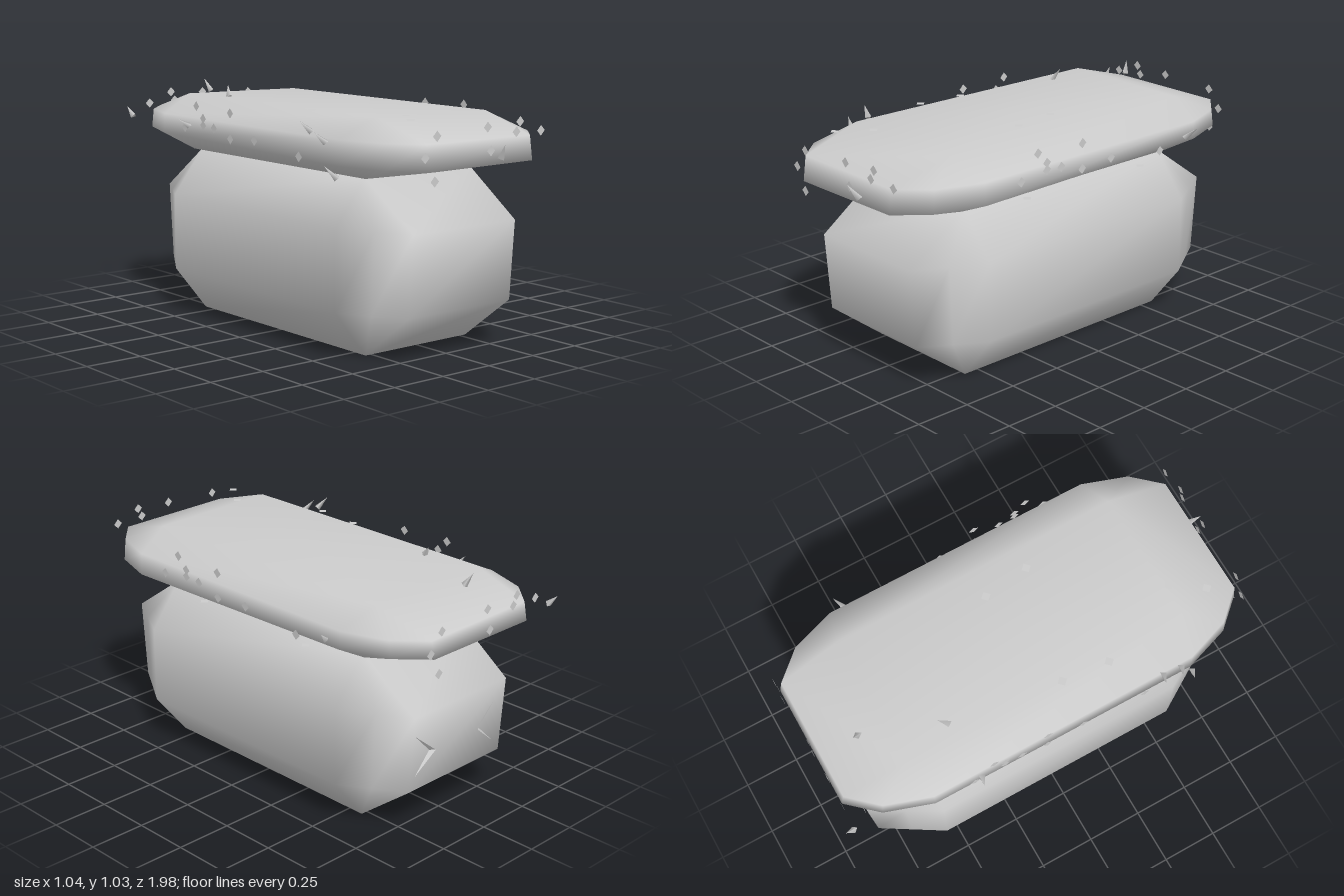
import * as THREE from 'three';
import { mergeVertices } from 'three/addons/utils/BufferGeometryUtils.js';

const grey = new THREE.MeshStandardMaterial({ color: 0xcccccc, side: THREE.DoubleSide });

// Rounded rectangle in plan: half sizes hx, hz; straight runs end at ix, iz.
function ring({ y, hx, hz, ix, iz, round = 0, tilt = [0, 0] }) {
  const mx = (hx + ix) / 2 + round * (hx - ix), mz = (hz + iz) / 2 + round * (hz - iz);
  const corner = [[hx, iz], [mx, mz], [ix, hz]];
  const pts = [];
  for (const [sx, sz] of [[1, 1], [-1, 1], [-1, -1], [1, -1]]) {
    const c = sx * sz > 0 ? corner : [...corner].reverse();
    for (const [x, z] of c) pts.push([sx * x, y + tilt[0] * sx * x + tilt[1] * sz * z, sz * z]);
  }
  return pts;
}

// Closed smooth body through a stack of rings, bottom to top.
function loft(sections) {
  const rings = sections.map(ring), n = rings[0].length;
  const pos = rings.flat(2), idx = [];
  for (let r = 0; r < rings.length - 1; r++) {
    for (let i = 0; i < n; i++) {
      const a = r * n + i, b = r * n + (i + 1) % n;
      idx.push(a, a + n, b, b, a + n, b + n);
    }
  }
  const bottom = rings.length * n, top = bottom + 1, last = (rings.length - 1) * n;
  pos.push(0, sections[0].y, 0, 0, sections.at(-1).y, 0);
  for (let i = 0; i < n; i++) {
    const j = (i + 1) % n;
    idx.push(bottom, i, j, top, last + j, last + i);
  }
  const raw = new THREE.BufferGeometry();
  raw.setAttribute('position', new THREE.Float32BufferAttribute(pos, 3));
  raw.setIndex(idx);
  const geo = mergeVertices(raw, 1e-4);
  geo.computeVertexNormals();
  return geo;
}

function add(parent, name, geo) {
  const mesh = new THREE.Mesh(geo, grey);
  mesh.name = name;
  parent.add(mesh);
  return mesh;
}

export function createModel() {
  const group = new THREE.Group();
  group.name = 'toppedBlock';

  // Chunky bevelled base
  add(group, 'base', loft([
    { y: 0, hx: 0.28, hz: 0.57, ix: 0.28, iz: 0.57 },
    { y: 0.2, hx: 0.44, hz: 0.83, ix: 0.28, iz: 0.57 },
    { y: 0.54, hx: 0.44, hz: 0.855, ix: 0.28, iz: 0.57 },
    { y: 0.735, hx: 0.29, hz: 0.57, ix: 0.29, iz: 0.57 },
  ]));

  // Flat slab resting on the base
  add(group, 'slab', loft([
    { y: 0.735, hx: 0.31, hz: 0.6, ix: 0.31, iz: 0.6 },
    { y: 0.81, hx: 0.465, hz: 0.945, ix: 0.28, iz: 0.61, round: 0.12, tilt: [0, -0.015] },
    { y: 0.9, hx: 0.46, hz: 0.93, ix: 0.28, iz: 0.61, round: 0.12, tilt: [-0.01, 0] },
    { y: 0.978, hx: 0.3, hz: 0.65, ix: 0.3, iz: 0.65, tilt: [-0.02, 0.003] },
  ]));

  // Small diamond flakes around the slab, lying in the planes of its bounding box
  const flakes = new THREE.Group();
  flakes.name = 'flakes';
  group.add(flakes);
  const diamond = new THREE.CircleGeometry(0.022, 4);
  const flake = (x, y, z, rx = 0, ry = 0) => {
    const m = add(flakes, 'flake', diamond);
    m.position.set(x, y, z);
    m.rotation.set(rx, ry, 0);
  };
  const ends = [[-0.25, 0.935], [0.02, 0.95], [0.2, 0.96], [0.18, 0.92], [0.32, 0.915],
    [-0.31, 0.855], [0.04, 0.855], [-0.26, 0.76]];
  for (const [x, y] of ends) {
    flake(x, y, 0.952);
    flake(-x, y, -0.952, 0, Math.PI);
  }
  const sides = [[0.34, 0.96], [0.29, 0.91], [0.29, 0.88], [0.21, 0.875], [0.09, 0.95],
    [0.09, 0.84], [-0.08, 0.85], [0.43, 0.86], [-0.38, 0.815]];
  for (const [z, y] of sides) {
    flake(0.475, y, z, 0, Math.PI / 2);
    flake(-0.475, y, -z, 0, -Math.PI / 2);
  }
  const tops = [[0.17, -0.02], [0.2, 0.19], [-0.31, 0.07], [-0.33, 0.28], [-0.16, 0.67], [-0.25, 0.8]];
  for (const [x, z] of tops) flake(x, 0.985, z, -Math.PI / 2);
  for (const [x, z] of [[0.37, 0.3], [0.39, -0.35]]) flake(x, 0.735, z, Math.PI / 2);

  // Pointed slivers sticking out of the slab: base point, then tip
  const slivers = [
    [[-0.47, 0.925, 0.46], [-0.52, 0.97, 0.44]], [[-0.47, 0.89, 0.55], [-0.52, 0.935, 0.53]],
    [[-0.47, 0.755, 0.62], [-0.52, 0.805, 0.6]], [[0.47, 0.84, -0.54], [0.52, 0.885, -0.57]],
    [[-0.24, 0.98, -0.42], [-0.22, 1.03, -0.46]], [[-0.1, 0.975, -0.76], [-0.12, 1.03, -0.79]],
    [[0.1, 0.82, 0.95], [0.08, 0.88, 0.99]], [[-0.41, 0.86, -0.95], [-0.42, 0.905, -0.99]],
    [[-0.47, 0.87, -0.4], [-0.52, 0.9, -0.41]],
  ];
  const up = new THREE.Vector3(0, 1, 0);
  for (const [from, to] of slivers) {
    const a = new THREE.Vector3(...from), b = new THREE.Vector3(...to);
    const dir = b.clone().sub(a);
    const m = add(group, 'sliver', new THREE.ConeGeometry(0.016, dir.length(), 3));
    m.position.copy(a).lerp(b, 0.5);
    m.quaternion.setFromUnitVectors(up, dir.normalize());
  }

  // Thin chevron creases on the back of the base
  for (const [s, tip] of [[1, 0.16], [-1, -0.1]]) {
    for (const dy of [0.09, -0.09]) {
      const crease = new THREE.BufferGeometry().setFromPoints([
        new THREE.Vector3(tip, 0.365, -0.863),
        new THREE.Vector3(tip + s * 0.11, 0.365 + dy, -0.85),
        new THREE.Vector3(tip + s * 0.02, 0.365, -0.845),
      ]);
      crease.computeVertexNormals();
      add(group, 'crease', crease);
    }
  }
  return group;
}
